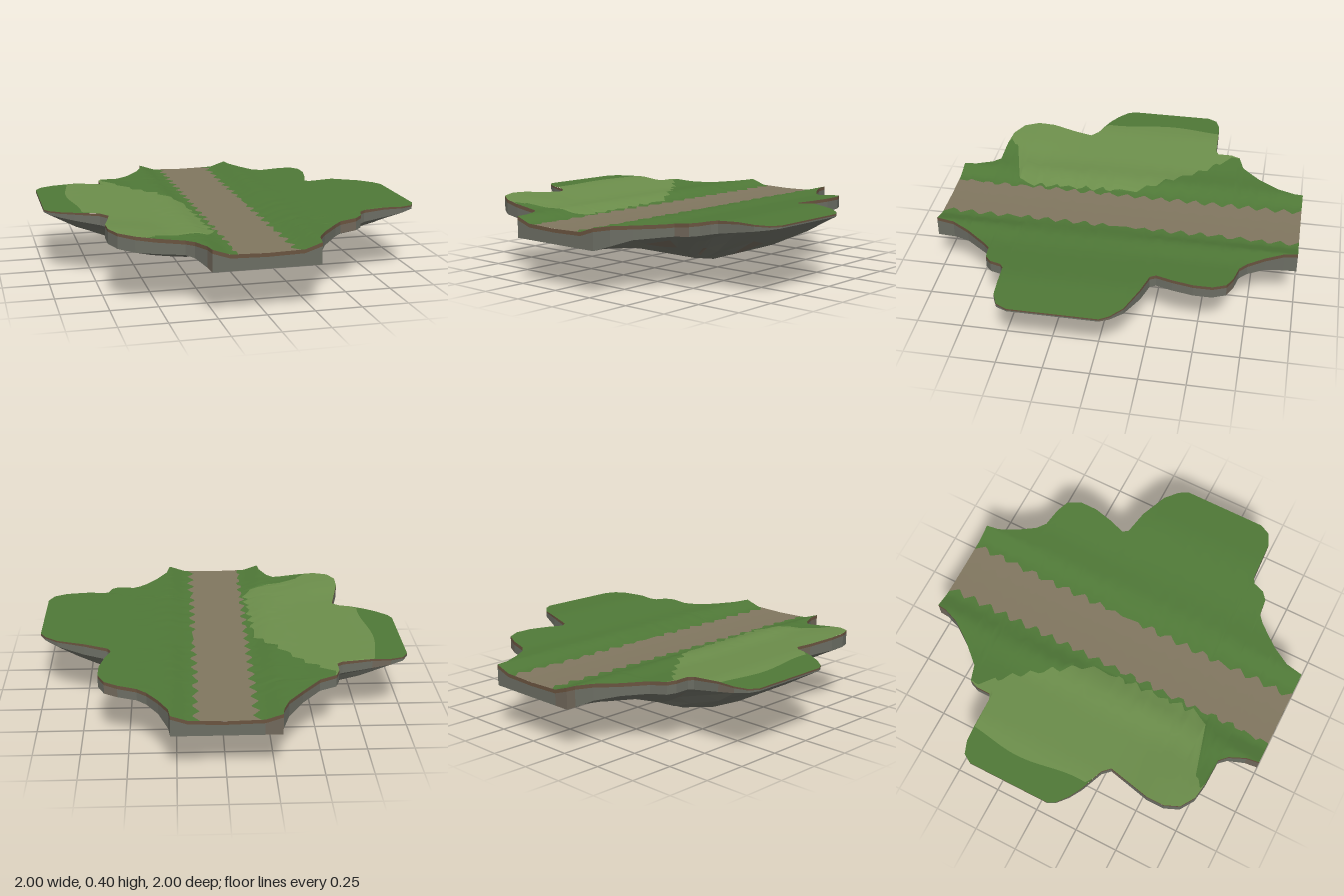
import * as THREE from 'three';

// Shore lines as [z, x], running from back to front
const leftShore = [[-1, -.28], [-.95, -.285], [-.86, -.32], [-.75, -.4], [-.64, -.5], [-.61, -.59], [-.56, -.61],
  [-.48, -.61], [-.465, -.64], [-.46, -.8], [-.455, -.9], [-.43, -.97], [-.38, -1], [.09, -1], [.13, -.98], [.18, -.92],
  [.22, -.85], [.27, -.72], [.31, -.68], [.4, -.7], [.55, -.735], [.65, -.735], [.73, -.7], [.78, -.62],
  [.795, -.52], [.8, -.37], [.84, -.33], [.93, -.29], [1, -.28]];
const rightShore = [[-1, .28], [-.93, .29], [-.83, .34], [-.74, .4], [-.7, .45], [-.68, .55], [-.65, .62],
  [-.58, .655], [-.48, .655], [-.37, .63], [-.28, .6], [-.25, .62], [-.22, .75], [-.16, .9], [-.1, .97],
  [-.05, 1], [.42, 1], [.48, .97], [.51, .9], [.515, .8], [.52, .68], [.54, .65], [.6, .63], [.635, .59],
  [.645, .5], [.68, .46], [.8, .36], [.9, .3], [1, .28]];
// Inner limit of the light meadow, also as [z, x]
const meadowLine = [[-1, -1], [-.62, -.62], [-.33, -.38], [-.05, -.2], [.6, -.17], [.66, -.25], [.7, -.38],
  [.72, -.52], [.8, -.55], [1, -.9]];
// Ground height by distance from the road
const groundLine = [[0, .32], [.19, .325], [.28, .355], [.42, .348], [.75, .384], [1, .375]];
// Foot of the rim wall by distance from the road
const wallFoot = [[0, .24], [.28, .24], [.34, .275], [.65, .305], [1, .36]];

// Piecewise linear lookup
function lookup(table, t) {
  for (let i = 1; i < table.length; i++) {
    const [a, va] = table[i - 1], [b, vb] = table[i];
    if (t <= b) return va + (vb - va) * Math.max(0, (t - a) / (b - a));
  }
  return table[table.length - 1][1];
}

const { clamp, lerp, smoothstep } = THREE.MathUtils;
const ground = (x, z) => lookup(groundLine, Math.abs(x)) +
  .015 * smoothstep(-x, .3, .6) * smoothstep(z, .35, .65);

// Surface through rows of points; keep(row, column) can select cells
function surface(rows, keep = () => true) {
  const width = rows[0].length, index = [];
  for (let r = 0; r < rows.length - 1; r++) {
    for (let c = 0; c < width - 1; c++) {
      if (!keep(r, c)) continue;
      const a = r * width + c, d = a + width;
      index.push(a, d, a + 1, a + 1, d, d + 1);
    }
  }
  const geometry = new THREE.BufferGeometry();
  geometry.setAttribute('position', new THREE.Float32BufferAttribute(rows.flat(2), 3));
  geometry.setIndex(index);
  geometry.computeVertexNormals();
  return geometry;
}

export function createModel() {
  const island = new THREE.Group();
  island.name = 'floatingIsland';
  const add = (name, geometry, color, flatShading = false) => {
    const mesh = new THREE.Mesh(geometry, new THREE.MeshStandardMaterial({ color, flatShading }));
    mesh.name = name;
    island.add(mesh);
  };

  // Ground rows pass through every shore point, with an even spacing between
  const levels = [...leftShore, ...rightShore].map(p => p[0]);
  for (let i = -20; i <= 20; i++) levels.push(i * .05);
  const zs = [...new Set(levels.map(z => +z.toFixed(3)))].sort((a, b) => a - b);

  const left = z => lookup(leftShore, z);
  const right = z => lookup(rightShore, z);
  const roadLeft = z => -.15 - .02 * Math.sin(z * 62 + 1);
  const roadRight = z => .15 + .02 * Math.sin(z * 58);
  const meadowOuter = z => Math.max(left(z), -.83 + .02 * Math.sin(z * 9));
  const meadowInner = z => clamp(lookup(meadowLine, z) + .02 * Math.sin(z * 70), meadowOuter(z), roadLeft(z));

  // Strip of ground between two edges
  const strip = (from, to, n) => surface(zs.map(z => Array.from({ length: n + 1 }, (_, i) => {
    const x = lerp(from(z), to(z), i / n);
    return [x, ground(x, z), z];
  })));

  const grass = 0x4f7837, meadow = 0x6c8e4b;
  add('road', strip(roadLeft, roadRight, 4), 0x80765f);
  add('rightGrass', strip(roadRight, right, 14), grass);
  add('leftGrass', strip(meadowInner, roadLeft, 8), grass);
  add('lightMeadow', strip(meadowOuter, meadowInner, 10), meadow);
  add('outerGrass', strip(left, meadowOuter, 4), grass);

  // Closed rim loop, with extra points across the two road ends
  const ends = [-.19, 0, .19];
  const rim = [
    ...leftShore.map(([z, x]) => [x, z]),
    ...ends.map(x => [x, 1]),
    ...[...rightShore].reverse().map(([z, x]) => [x, z]),
    ...ends.map(x => [-x, -1]),
  ];
  rim.push(rim[0]);

  // Earth lip under the turf
  const lipY = (x, z) => ground(x, z) - lerp(.02, .008, smoothstep(Math.abs(x), .5, 1));
  const topRing = rim.map(([x, z]) => [x, ground(x, z), z]);
  const lipRing = rim.map(([x, z]) => [x, lipY(x, z), z]);
  add('earthLip', surface([topRing, lipRing]), 0x69533f, true);

  // Rock wall, then rings shrinking to the lowest point
  const tip = [-.02, -.11];
  const footRing = rim.map(([x, z]) => [x, Math.min(lookup(wallFoot, Math.abs(x)), lipY(x, z) - .002), z]);
  // Each ring: scale, height below the road ends, height below the side lobes
  const profile = [[.82, .205, .25], [.58, .16, .15], [.3, .105, .06], [0, 0, 0]];
  const rings = profile.map(([s, yEnd, yLobe], k) => rim.map(([x, z], i) => {
    const side = clamp((Math.abs(x) - .2) / .6, 0, 1);
    const ridge = s * .012 * (1 + Math.sin((i % (rim.length - 1)) * 2.4 + k));
    return [lerp(tip[0], x, s), lerp(yEnd, yLobe, side) + ridge, lerp(tip[1], z, s)];
  }));
  const rows = [lipRing, footRing, ...rings];
  const earthy = (r, c) => (r * 31 + c * 17 + r * c * 7) % 9 === 0;
  add('rockUnderside', surface(rows, (r, c) => !earthy(r, c)), 0x6b6d63, true);
  add('earthyRockPatches', surface(rows, earthy), 0x70675a, true);

  return island;
}
